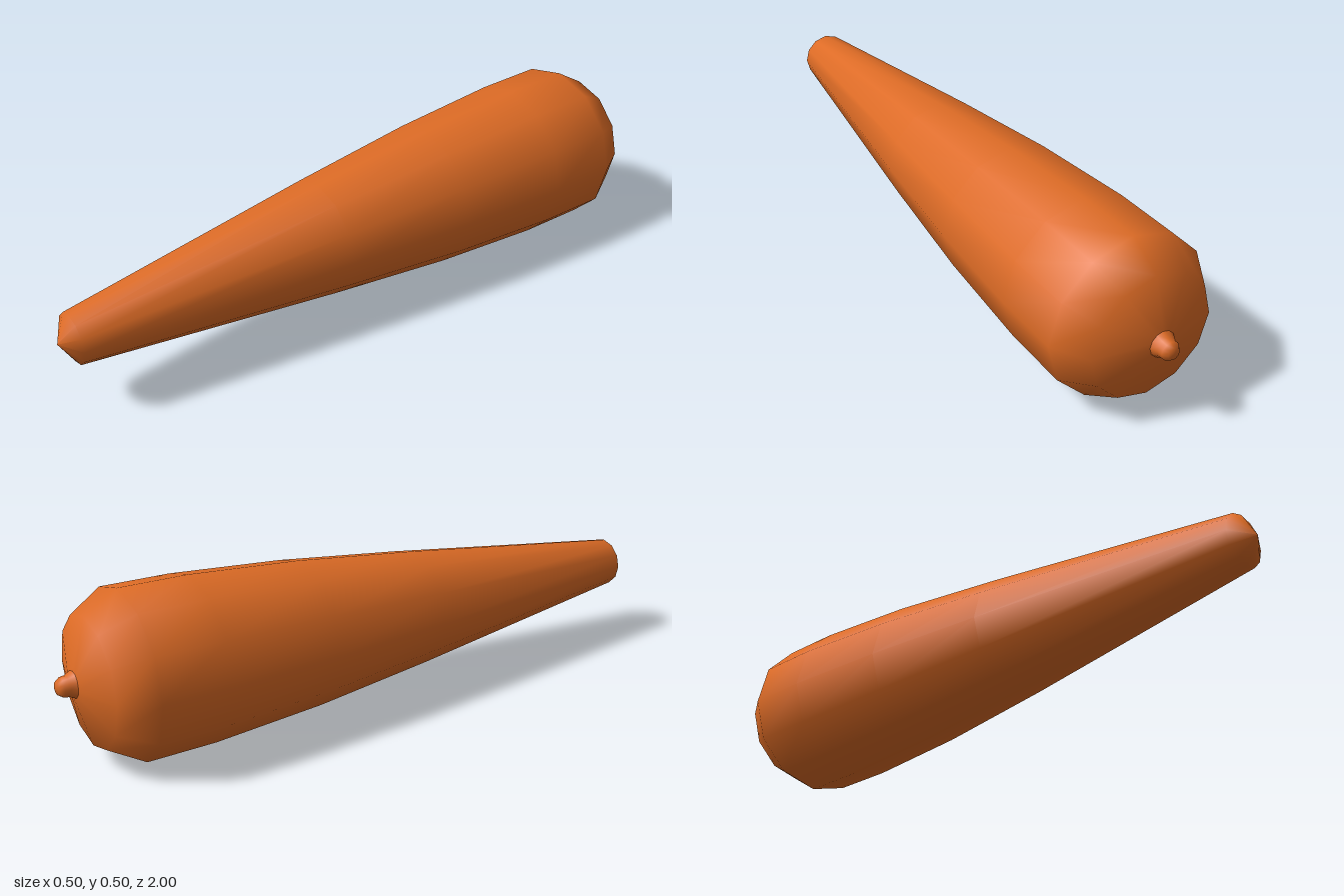
import * as THREE from 'three';

export function createModel() {
  const group = new THREE.Group();
  group.name = 'carrot';
  const orange = new THREE.MeshStandardMaterial({ color: 0xdd6b25 });
  orange.name = 'carrot orange';

  // Twelve-sided lathe along z, with the axis dipping slightly towards the tip
  const lathe = (name, profile) => {
    const points = profile.map(([r, z]) => new THREE.Vector2(r, z));
    const geometry = new THREE.LatheGeometry(points, 12);
    geometry.rotateX(Math.PI / 2);
    const p = geometry.attributes.position;
    for (let i = 0; i < p.count; i++) {
      const t = Math.max(0, (p.getZ(i) + 0.8) / 1.8);
      p.setY(i, p.getY(i) + 0.2485 - 0.0135 * t);
    }
    const mesh = new THREE.Mesh(geometry, orange);
    mesh.name = name;
    group.add(mesh);
    return mesh;
  };

  // Root: shoulder, long taper and blunt tip, as [radius, z]
  lathe('root', [
    [0, -0.957], [0.038, -0.953], [0.188, -0.91], [0.248, -0.81], [0.246, -0.6],
    [0.222, -0.25], [0.178, 0.15], [0.076, 0.957], [0, 1],
  ]);

  // Small stalk stub at the thick end
  lathe('stalk', [
    [0, -1], [0.018, -0.999], [0.028, -0.985], [0.03, -0.97], [0.04, -0.95],
  ]).position.y = 0.004;

  return group;
}
